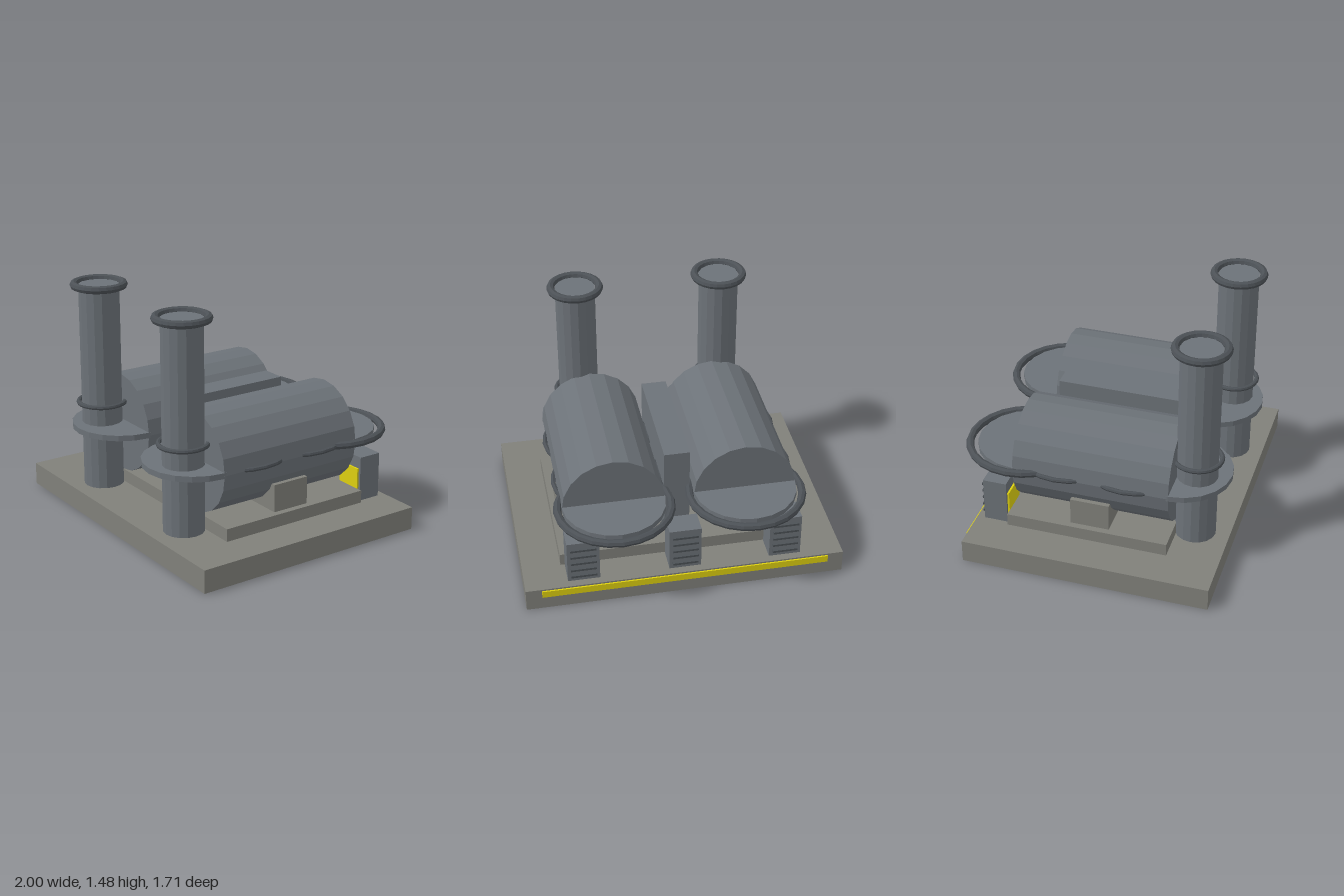
import * as THREE from 'three';

const material = (color) => new THREE.MeshStandardMaterial({ color, flatShading: true });

export function createModel() {
  const model = new THREE.Group();
  model.name = 'twinTankPlant';
  const concrete = material(0x80807a);
  const steel = material(0x6c7278);
  const darkSteel = material(0x4c5156);
  const yellow = material(0xdccf10);

  const add = (name, geometry, mat, x, y, z, parent = model) => {
    const mesh = new THREE.Mesh(geometry, mat);
    mesh.name = name;
    mesh.position.set(x, y, z);
    parent.add(mesh);
    return mesh;
  };
  // Box given by its min and max corners
  const box = (name, mat, x0, x1, y0, y1, z0, z1, parent) =>
    add(name, new THREE.BoxGeometry(x1 - x0, y1 - y0, z1 - z0), mat,
      (x0 + x1) / 2, (y0 + y1) / 2, (z0 + z1) / 2, parent);
  // Horizontal ring
  const ring = (name, radius, tube, mat, x, y, z, parent, segments = 24) =>
    add(name, new THREE.TorusGeometry(radius, tube, 8, segments).rotateX(Math.PI / 2), mat, x, y, z, parent);

  // Foundation slab, plinth and hazard stripe
  box('foundation', concrete, -1, 1, 0, 0.145, -0.7, 0.853);
  box('plinth', concrete, -0.76, 0.76, 0.145, 0.225, -0.49, 0.53);
  box('rearStripe', yellow, -0.9, 0.9, 0.09, 0.135, -0.71, -0.695);

  // Central duct between the tanks
  box('centralDuct', steel, -0.08, 0.08, 0.225, 0.81, -0.37, 0.425);

  for (const side of [-1, 1]) {
    const label = side > 0 ? 'left' : 'right';

    // Tank with end plates, bands and saddle
    const tank = new THREE.Group();
    tank.name = label + 'Tank';
    tank.position.x = side * 0.41;
    model.add(tank);
    add('tankShell', new THREE.CylinderGeometry(0.32, 0.32, 0.98, 20).rotateX(Math.PI / 2),
      steel, 0, 0.545, 0.035, tank);
    for (const z of [0.522, -0.458]) {
      add('endPlate', new THREE.CylinderGeometry(0.32, 0.32, 0.036, 20), steel, 0, 0.548, z, tank);
    }
    for (const z of [0.245, -0.18]) ring('tankBand', 0.337, 0.015, darkSteel, 0, 0.547, z, tank);
    ring('rearPipeRing', 0.35, 0.025, darkSteel, 0, 0.548, -0.48, tank);
    box('saddle', concrete, -0.31, 0.31, 0.225, 0.4, -0.09, 0.155, tank);

    // Chimney stack with collar and rim
    const stack = new THREE.Group();
    stack.name = label + 'Stack';
    stack.position.set(side * 0.466, 0, 0.637);
    model.add(stack);
    add('stackPipe', new THREE.CylinderGeometry(0.128, 0.128, 1.31, 16), steel, 0, 0.8, 0, stack);
    ring('stackCollar', 0.147, 0.015, darkSteel, 0, 0.695, 0, stack);
    ring('stackRim', 0.155, 0.025, darkSteel, 0, 1.455, 0, stack);
  }

  // Louvred vent cabinets along the rear
  for (const x of [-0.633, 0, 0.633]) {
    const cabinet = new THREE.Group();
    cabinet.name = 'ventCabinet';
    cabinet.position.x = x;
    model.add(cabinet);
    box('cabinetBody', steel, -0.1, 0.1, 0.145, 0.432, -0.65, -0.5, cabinet);
    box('frontPanel', yellow, -0.085, 0.085, 0.2, 0.355, -0.505, -0.488, cabinet);
    for (let i = 0; i < 5; i++) {
      const y = 0.185 + i * 0.05;
      box('louvre', darkSteel, -0.08, 0.08, y - 0.007, y + 0.007, -0.667, -0.645, cabinet);
    }
  }
  return model;
}
